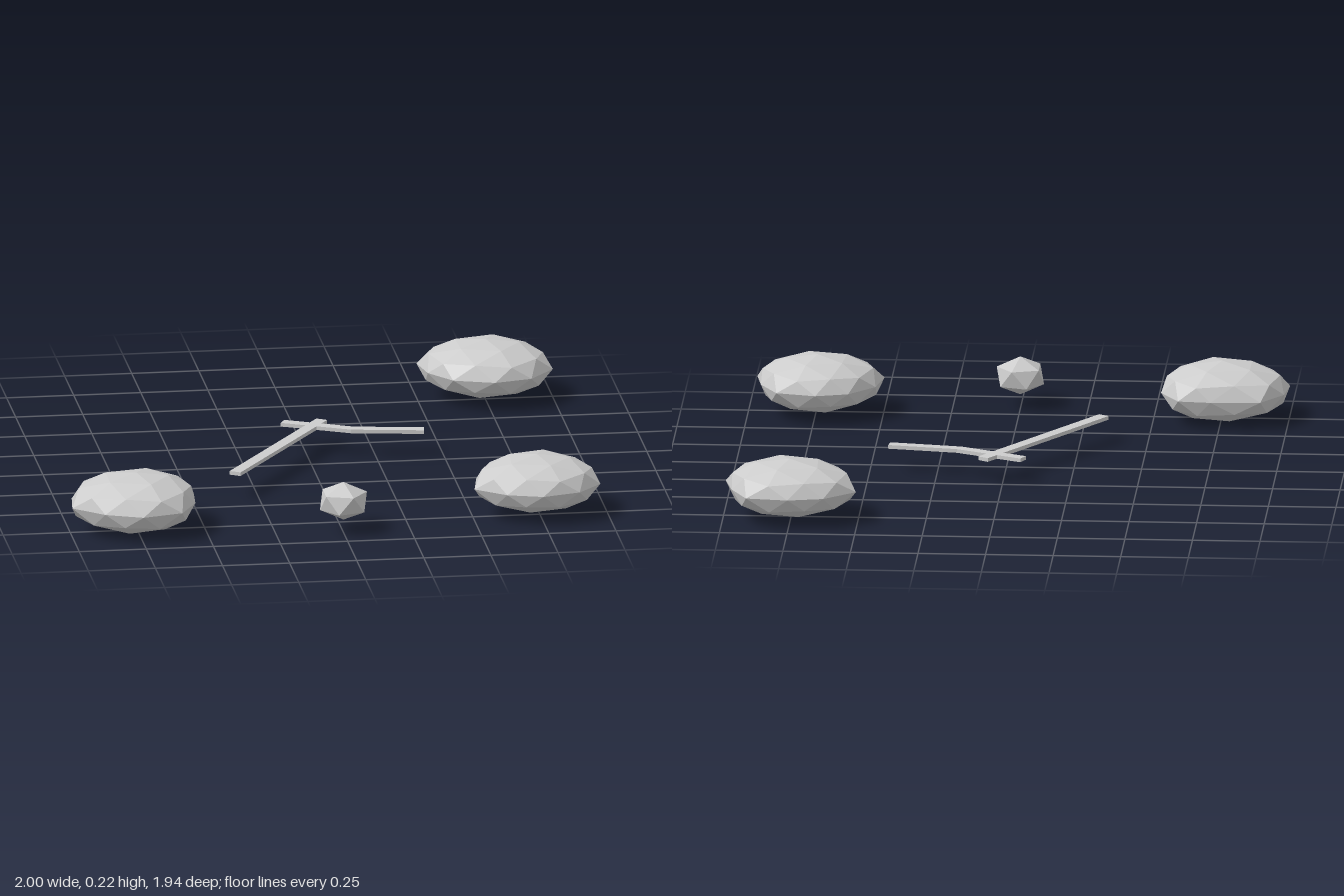
import * as THREE from 'three';

const STEP = Math.PI / 5;

// Icosahedron standing on a vertex, optionally subdivided
function icosphere(detail) {
  const v = [0, 1, 0];
  const ring = (offset, y) => {
    for (let k = 0; k < 5; k++) {
      const a = offset + k * 2 * STEP;
      v.push(0.8944 * Math.cos(a), y, 0.8944 * Math.sin(a));
    }
  };
  ring(0, 0.4472);
  ring(STEP, -0.4472);
  v.push(0, -1, 0);
  const faces = [];
  for (let k = 0; k < 5; k++) {
    const n = (k + 1) % 5;
    faces.push(0, 1 + n, 1 + k);
    faces.push(1 + k, 1 + n, 6 + k);
    faces.push(6 + k, 1 + n, 6 + n);
    faces.push(11, 6 + k, 6 + n);
  }
  return new THREE.PolyhedronGeometry(v, faces, 1, detail);
}

// Flattened boulder whose ten equator corners follow an outline of [x, z] points
function boulder(outline, y, halfHeight) {
  const geo = icosphere(1);
  const pos = geo.attributes.position;
  const cx = outline.reduce((s, p) => s + p[0], 0) / 10;
  const cz = outline.reduce((s, p) => s + p[1], 0) / 10;
  for (let i = 0; i < pos.count; i++) {
    const px = pos.getX(i), pz = pos.getZ(i);
    const u = Math.atan2(pz, px) / STEP - 0.5 + 10;
    const k = Math.floor(u), f = u - k;
    const a = outline[k % 10], b = outline[(k + 1) % 10];
    const chord = Math.cos(STEP / 2) / Math.cos((f - 0.5) * STEP);
    const r = Math.hypot(px, pz) / chord;
    pos.setXYZ(i,
      cx + r * (a[0] + (b[0] - a[0]) * f - cx),
      y + pos.getY(i) * halfHeight,
      cz + r * (a[1] + (b[1] - a[1]) * f - cz));
  }
  geo.computeVertexNormals();
  return geo;
}

// Flat stick cut from an outline of [x, z] points
function stick(points) {
  const shape = new THREE.Shape(points.map(([x, z]) => new THREE.Vector2(x, -z)));
  const geo = new THREE.ExtrudeGeometry(shape, { depth: 0.014, bevelEnabled: false });
  return geo.rotateX(-Math.PI / 2).translate(0, 0.086, 0);
}

export function createModel() {
  const model = new THREE.Group();
  model.name = 'campsiteStonesAndSticks';
  const stoneGrey = new THREE.MeshStandardMaterial({ color: 0xcccccc, flatShading: true });
  stoneGrey.name = 'stone grey';
  const add = (name, geo) => {
    const mesh = new THREE.Mesh(geo, stoneGrey);
    mesh.name = name;
    model.add(mesh);
    return mesh;
  };

  // Three large boulders
  add('frontLeftBoulder', boulder([
    [0.97, 0.79], [0.88, 0.89], [0.74, 0.93], [0.61, 0.89], [0.5, 0.8],
    [0.525, 0.66], [0.62, 0.55], [0.74, 0.515], [0.885, 0.55], [0.95, 0.67],
  ], 0.12, 0.105));
  add('backLeftBoulder', boulder([
    [0.995, -0.7], [0.9, -0.585], [0.76, -0.55], [0.61, -0.6], [0.53, -0.71],
    [0.505, -0.84], [0.62, -0.945], [0.75, -0.975], [0.905, -0.955], [0.965, -0.83],
  ], 0.12, 0.105));
  add('frontRightBoulder', boulder([
    [-0.54, 0.8], [-0.605, 0.925], [-0.755, 0.965], [-0.89, 0.91], [-1, 0.81],
    [-0.985, 0.68], [-0.905, 0.56], [-0.72, 0.548], [-0.6, 0.56], [-0.53, 0.68],
  ], 0.11, 0.11));

  // Small pebble
  const pebble = add('pebble', icosphere(0).scale(0.098, 0.0725, 0.098));
  pebble.position.set(0.002, 0.1175, 0.87);

  // Crossed sticks, one straight and one bent
  add('straightStick', stick([[-0.355, 0.376], [-0.318, 0.4], [0.09, -0.228], [0.053, -0.252]]));
  add('bentStick', stick([
    [-0.067, -0.25], [0.175, -0.13], [0.432, -0.087],
    [0.426, -0.047], [0.16, -0.092], [-0.085, -0.213],
  ]));
  return model;
}
